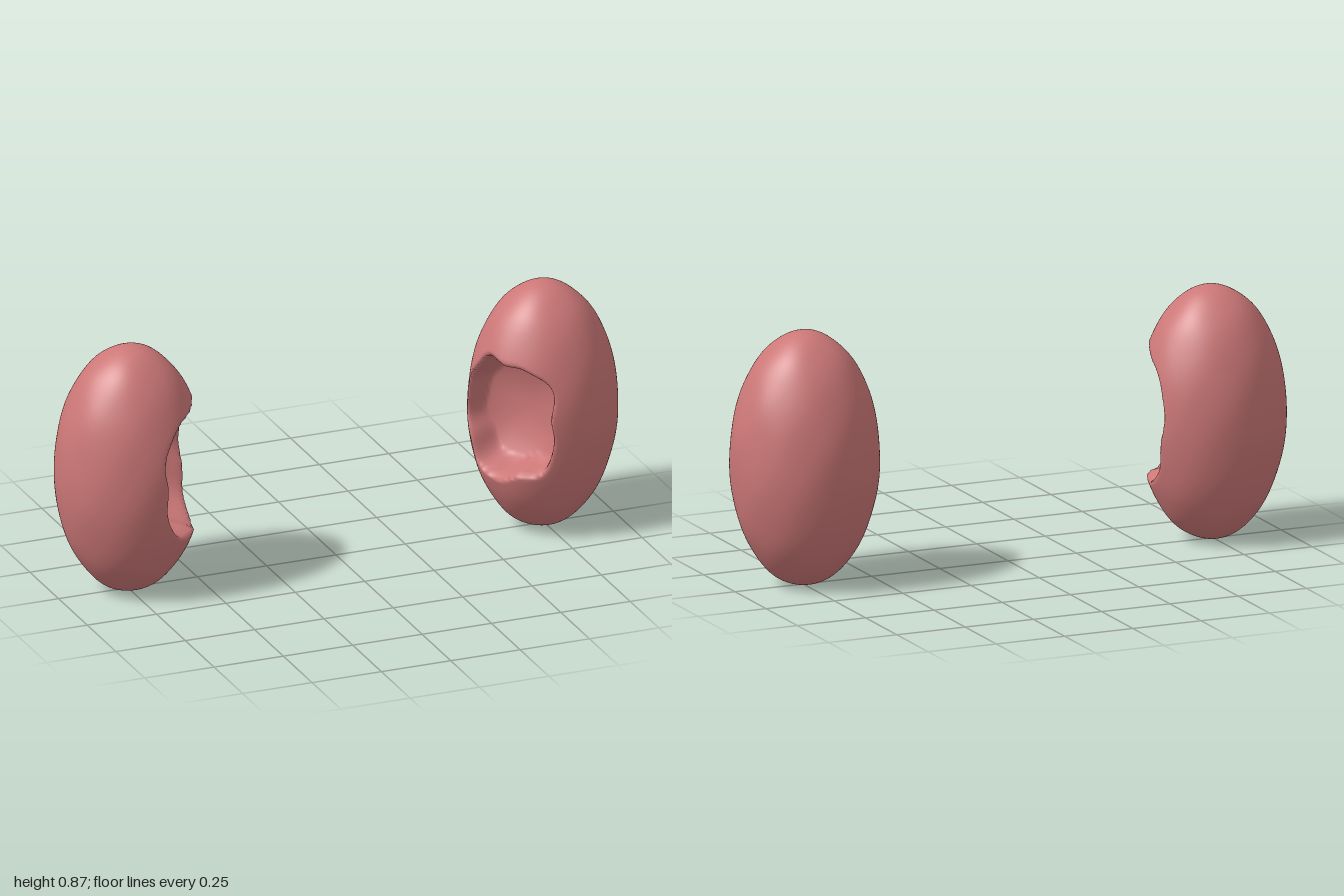
import * as THREE from 'three';
import { mergeVertices } from 'three/addons/utils/BufferGeometryUtils.js';

const RADII = new THREE.Vector3(0.255, 0.436, 0.231);
const DEG = Math.PI / 180;

// Egg-shaped pod with a ragged bowl scooped out of its inner front face.
// inward: +1 if the bowl faces +x, -1 if it faces -x; from/to: its azimuth range.
function hollowPod({ inward, from, to, halfHeight, ragged, phase }) {
  const sphere = new THREE.SphereGeometry(1, 160, 112);
  sphere.deleteAttribute('uv');
  sphere.deleteAttribute('normal');
  const geometry = mergeVertices(sphere, 1e-5);
  const pos = geometry.attributes.position;
  const p = new THREE.Vector3();
  const middle = (from + to) / 2, halfWidth = (to - from) / 2;
  // direction the bowl opens towards
  const axis = new THREE.Vector3(inward * Math.sin(middle * DEG), 0, Math.cos(middle * DEG));

  for (let i = 0; i < pos.count; i++) {
    p.fromBufferAttribute(pos, i);
    // azimuth from the front (+z) towards the inner side
    const azimuth = Math.atan2(p.x * inward, p.z) / DEG;
    const u = (azimuth - middle) / halfWidth;
    const v = p.y / halfHeight;
    const around = Math.atan2(v, u);

    // rounded-square outline with an uneven edge
    const d = Math.pow(Math.abs(u) ** 2.8 + Math.abs(v) ** 2.8, 1 / 2.8);
    const edge = 1 + ragged * (Math.sin(5 * around + phase) + 0.5 * Math.sin(9 * around + 2 * phase));
    const cut = 1 - THREE.MathUtils.smoothstep(d / edge, 0.8, 1.02);

    // faint lumps on the outer skin
    p.multiplyScalar(1 + 0.007 * Math.sin(7 * p.x + phase) * Math.sin(9 * p.y) * Math.cos(6 * p.z));
    p.multiply(RADII);

    // press the skin back along the axis onto a shallow bowl
    const floor = 0.055 + 0.06 * Math.min(d, 1) ** 2;
    p.addScaledVector(axis, cut * Math.min(0, floor - p.dot(axis)));
    pos.setXYZ(i, p.x, p.y, p.z);
  }
  geometry.computeVertexNormals();
  return geometry;
}

export function createModel() {
  const model = new THREE.Group();
  model.name = 'hollowPods';
  const material = new THREE.MeshStandardMaterial({ color: 0xcc7777 });

  const pods = [
    { name: 'rightPod', inward: 1, from: 9, to: 117, halfHeight: 0.52, ragged: 0.03, phase: 0.6 },
    { name: 'leftPod', inward: -1, from: 11, to: 106, halfHeight: 0.48, ragged: 0.05, phase: 1.57 },
  ];
  for (const pod of pods) {
    const mesh = new THREE.Mesh(hollowPod(pod), material);
    mesh.name = pod.name;
    mesh.position.set(-pod.inward * 0.745, 0.437, 0);
    model.add(mesh);
  }
  return model;
}
